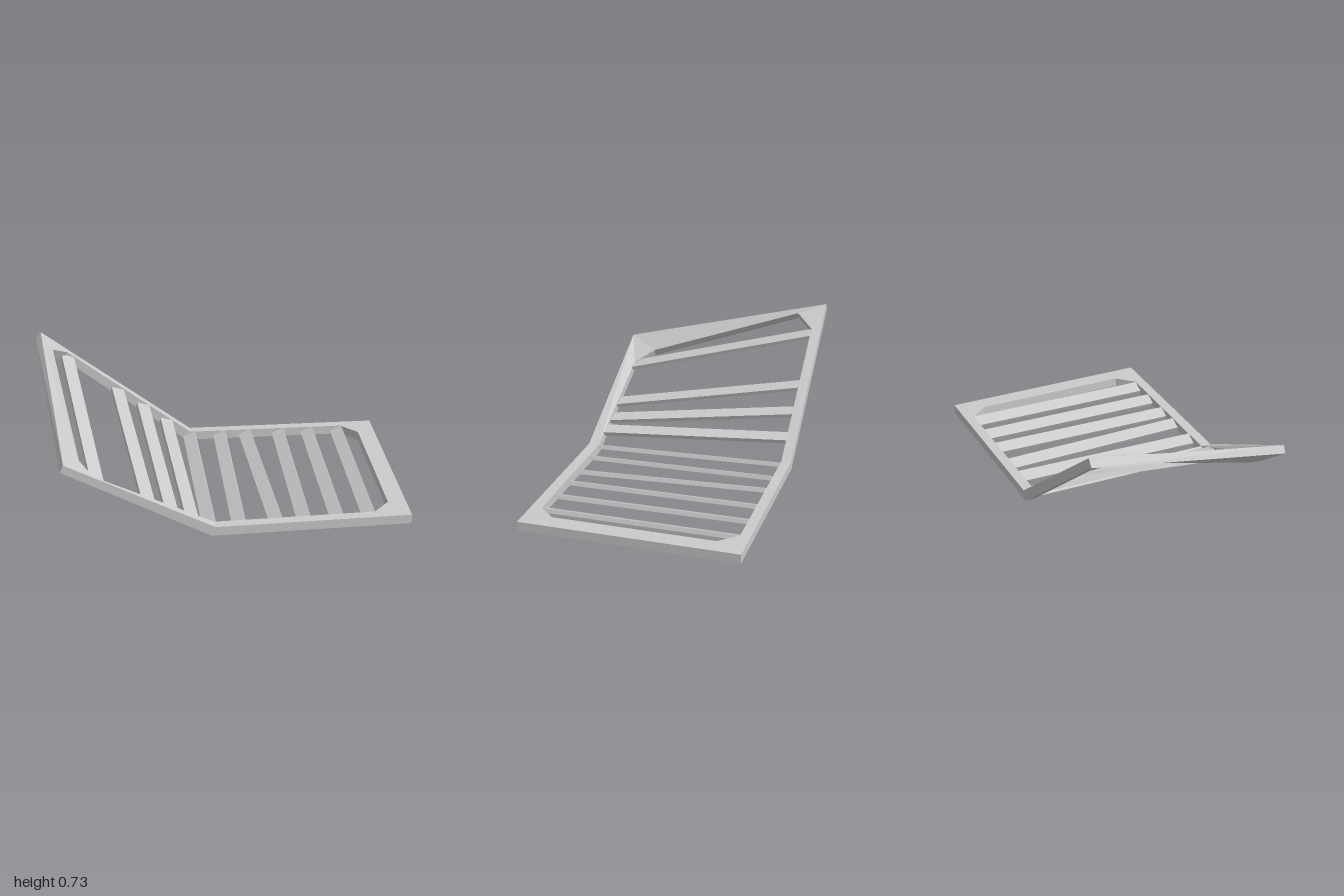
import * as THREE from 'three';

const material = new THREE.MeshStandardMaterial({ color: 0xcccccc, flatShading: true });

// Closed band swept around a loop; each station holds the four corners of its section.
function loopBand(stations) {
  const pos = [];
  const n = stations.length;
  for (let i = 0; i < n; i++) {
    const a = stations[i], b = stations[(i + 1) % n];
    for (let k = 0; k < 4; k++) {
      const m = (k + 1) % 4;
      pos.push(...a[k], ...b[k], ...b[m], ...a[k], ...b[m], ...a[m]);
    }
  }
  const geo = new THREE.BufferGeometry();
  geo.setAttribute('position', new THREE.Float32BufferAttribute(pos, 3));
  geo.computeVertexNormals();
  return geo;
}

// Section: outer top, inner top, inner bottom, outer bottom. drop = shift from top to bottom.
function station(outer, inner, drop) {
  const low = (p) => [p[0] + drop[0], p[1] + drop[1], p[2]];
  return [outer, inner, low(inner), low(outer)];
}

// Slat: a tilted box whose two ends sit at different [x, y] places.
function slat(back, front, tilt) {
  const geo = new THREE.BoxGeometry(0.074, 0.023, 1.1);
  geo.rotateZ(THREE.MathUtils.degToRad(tilt));
  const p = geo.attributes.position;
  for (let i = 0; i < p.count; i++) {
    const end = p.getZ(i) < 0 ? back : front;
    p.setX(i, p.getX(i) + end[0]);
    p.setY(i, p.getY(i) + end[1]);
    p.setZ(i, p.getZ(i) - 0.006);
  }
  geo.computeVertexNormals();
  return new THREE.Mesh(geo, material);
}

export function createModel() {
  const group = new THREE.Group();

  // Bent, twisted frame with chamfered inner corners
  const backLeft = [-0.97, 0.73, -0.6], frontLeft = [-0.85, 0.45, 0.583];
  const frontEnd = [1, 0.075, 0.6], backEnd = [1, 0.075, -0.6];
  const flat = [0, -0.052];
  const frame = new THREE.Mesh(loopBand([
    station([-0.105, 0.075, -0.6], [-0.105, 0.075, -0.545], [-0.025, -0.052]),
    station(backLeft, [-0.82, 0.62, -0.545], [-0.03, -0.04]),
    station(backLeft, [-0.9, 0.68, -0.445], [-0.03, -0.04]),
    station(frontLeft, [-0.77, 0.395, 0.42], [-0.02, -0.04]),
    station(frontLeft, [-0.69, 0.335, 0.522], [-0.02, -0.04]),
    station([-0.06, 0.052, 0.595], [-0.06, 0.052, 0.535], [-0.02, -0.052]),
    station(frontEnd, [0.81, 0.072, 0.54], flat),
    station(frontEnd, [0.9, 0.075, 0.445], flat),
    station(backEnd, [0.9, 0.075, -0.445], flat),
    station(backEnd, [0.81, 0.075, -0.545], flat),
  ]), material);
  frame.name = 'frame';
  group.add(frame);

  // Slats of the level section, tilted up towards +x: [back x, front x]
  const level = [[0.785, 0.78], [0.605, 0.605], [0.428, 0.425], [0.225, 0.275], [0.072, 0.072], [-0.11, -0.088]];
  // Slats of the raised section: [back x, back y, front x, front y]
  const raised = [
    [-0.253, 0.157, -0.187, 0.093], [-0.39, 0.263, -0.292, 0.125],
    [-0.538, 0.37, -0.412, 0.178], [-0.823, 0.59, -0.68, 0.314],
  ];
  const slats = new THREE.Group();
  slats.name = 'slats';
  level.forEach(([xb, xf], i) => {
    const s = slat([xb, 0.05], [xf, 0.028 + 0.021 * xf], 24);
    s.name = `levelSlat${i + 1}`;
    slats.add(s);
  });
  raised.forEach(([xb, yb, xf, yf], i) => {
    const s = slat([xb, yb], [xf, yf], -16);
    s.name = `raisedSlat${i + 1}`;
    slats.add(s);
  });
  group.add(slats);
  return group;
}
